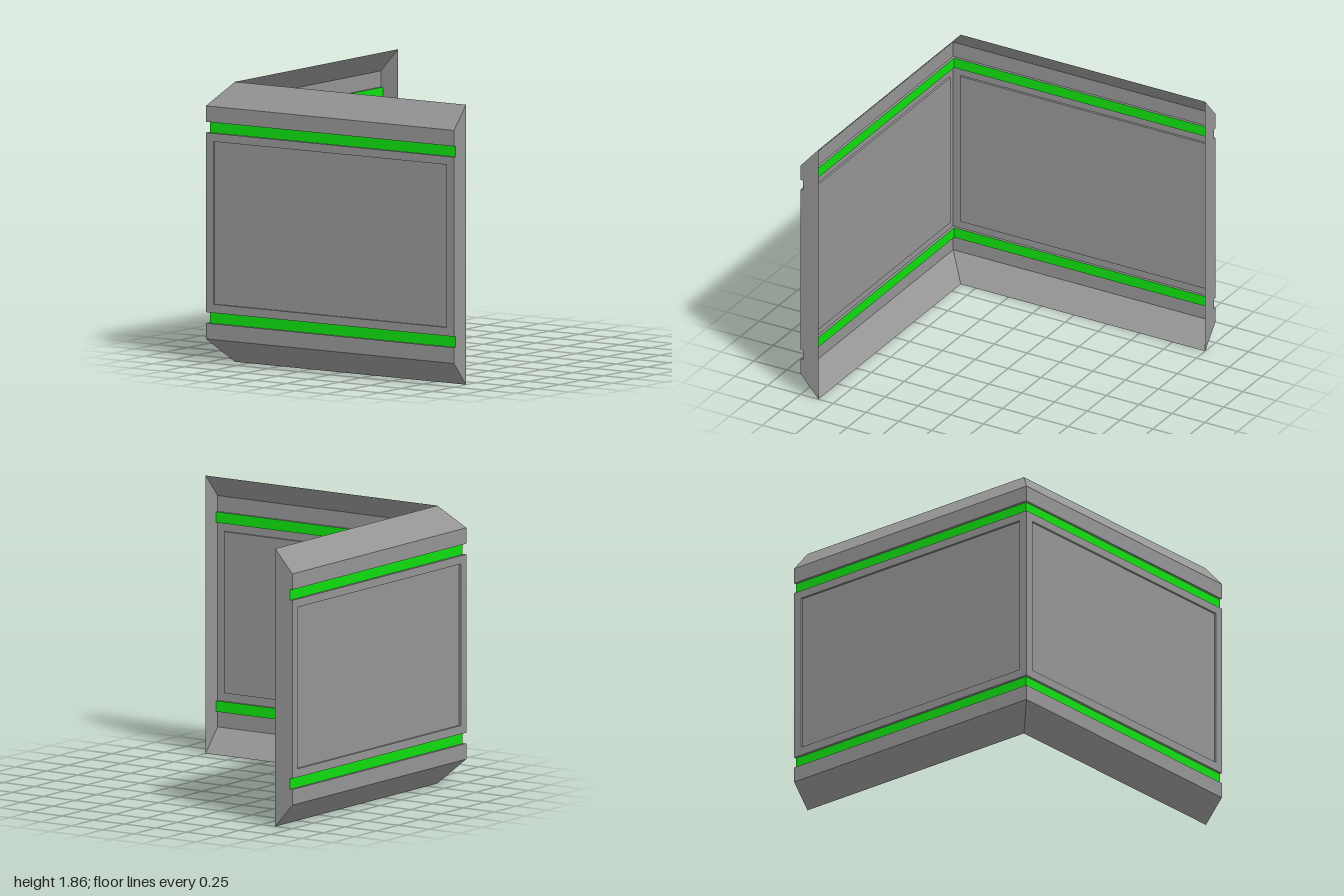
import * as THREE from 'three';

const steel = new THREE.MeshStandardMaterial({ name: 'wall grey', color: 0x969696, side: THREE.DoubleSide });
const green = new THREE.MeshStandardMaterial({ name: 'stripe green', color: 0x10e010, side: THREE.DoubleSide });

const DEPTH = 0.137;   // depth of the bevelled shell
const GROOVE = 0.018;  // depth of the stripe grooves
const RECESS = 0.015;  // depth of the panel

// wall cross-section from bottom to top: [inset, height]
const profile = [
  [DEPTH, 0], [0, 0.157], [0, 0.262], [GROOVE, 0.262], [GROOVE, 0.335], [0, 0.335],
  [0, 1.53], [GROOVE, 1.53], [GROOVE, 1.602], [0, 1.602], [0, 1.708], [DEPTH, 1.863],
];
const STRIPES = [3, 7]; // profile segments that are grooves' floors
const FACE = 5;         // profile segment that holds the panel

// Points are [along, height, inset]; the side wall is the front wall mirrored over the mitre.
function buildMesh(name, polygons, material, mirrored) {
  const positions = [];
  for (const polygon of polygons) {
    for (let i = 1; i < polygon.length - 1; i++) {
      const tri = [polygon[0], polygon[i], polygon[i + 1]];
      if (mirrored) tri.reverse();
      for (const [s, y, d] of tri) {
        if (mirrored) positions.push(d - 1, y, -s);
        else positions.push(s, y, 1 - d);
      }
    }
  }
  const geometry = new THREE.BufferGeometry();
  geometry.setAttribute('position', new THREE.Float32BufferAttribute(positions, 3));
  geometry.computeVertexNormals();
  const mesh = new THREE.Mesh(geometry, material);
  mesh.name = name;
  return mesh;
}

const rect = (s, y0, y1, d) => [[-s, y0, d], [s, y0, d], [s, y1, d], [-s, y1, d]];
const ring = (a, b) => a.map((p, i) => [p, a[(i + 1) % 4], b[(i + 1) % 4], b[i]]);

function wall(name, mirrored) {
  const group = new THREE.Group();
  group.name = name;
  const shell = [], stripes = [];

  // strips along the wall, mitred at the corner
  for (let i = 0; i < profile.length - 1; i++) {
    if (i === FACE) continue;
    const [d0, y0] = profile[i], [d1, y1] = profile[i + 1];
    const quad = [[-1 + d0, y0, d0], [1, y0, d0], [1, y1, d1], [-1 + d1, y1, d1]];
    (STRIPES.includes(i) ? stripes : shell).push(quad);
  }

  // main face with a recessed panel
  const outer = rect(1, profile[FACE][1], profile[FACE + 1][1], 0);
  const rim = rect(0.94, 0.392, 1.475, 0);
  const floor = rect(0.94, 0.392, 1.475, RECESS);
  shell.push(...ring(outer, rim), ...ring(rim, floor));

  // end cap at the free end
  const outline = profile.map(([d, y]) => new THREE.Vector2(d, y)).reverse();
  const cap = THREE.ShapeUtils.triangulateShape(outline, [])
    .map((t) => t.map((k) => [1, outline[k].y, outline[k].x]));

  group.add(
    buildMesh('shell', shell, steel, mirrored),
    buildMesh('recessedPanel', [floor], steel, mirrored),
    buildMesh('stripes', stripes, green, mirrored),
    buildMesh('endCap', cap, steel, mirrored),
  );
  return group;
}

export function createModel() {
  const model = new THREE.Group();
  model.name = 'cornerWall';
  model.add(wall('frontWall', false), wall('sideWall', true));
  return model;
}
